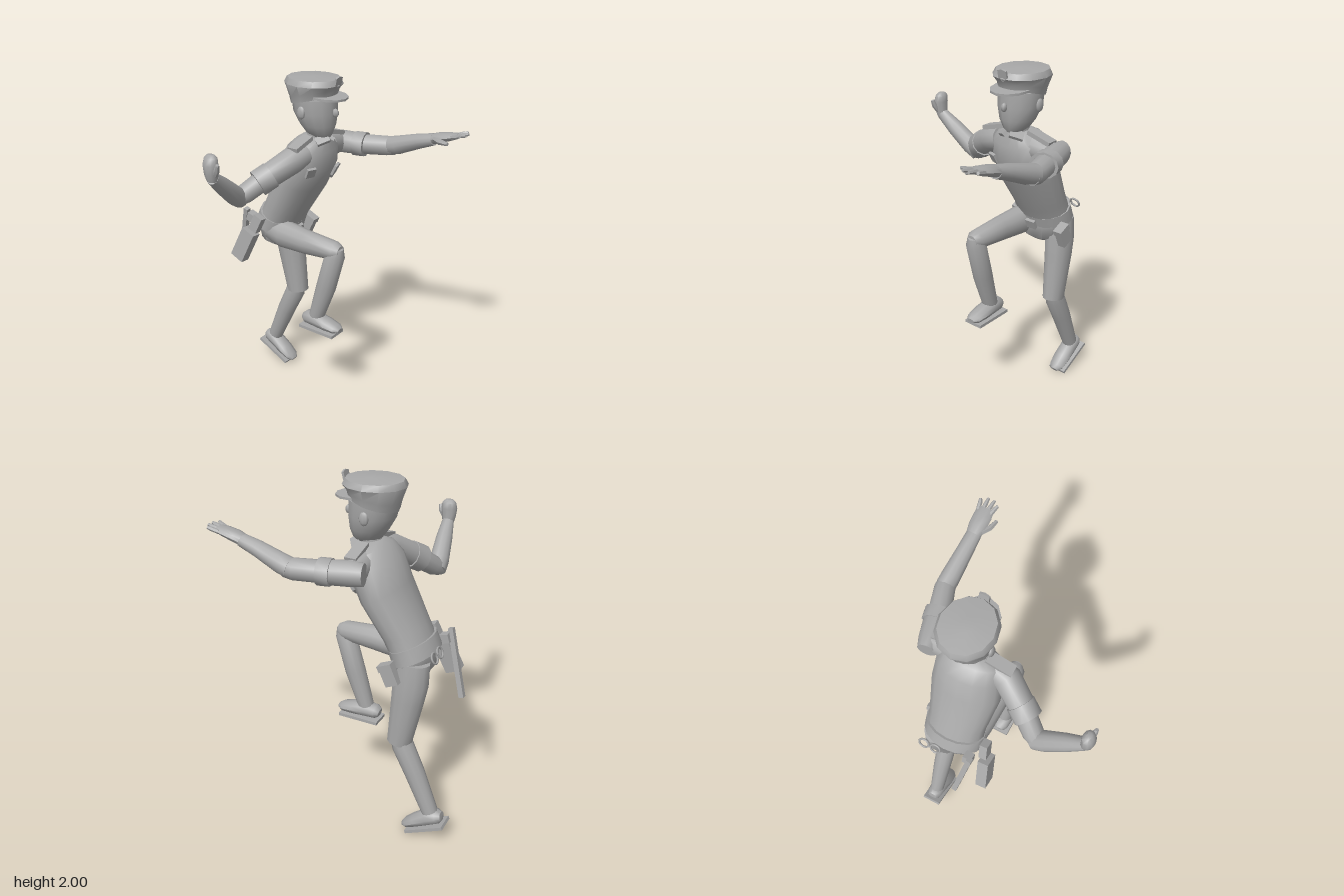
import * as THREE from 'three';
import { mergeVertices, toCreasedNormals } from 'three/addons/utils/BufferGeometryUtils.js';

const X = new THREE.Vector3(1, 0, 0);
const Z = new THREE.Vector3(0, 0, 1);

// Skin of elliptical rings along a path: [x, y, z, radiusU, radiusV, pitch?]
function loft(rings, seg = 12, ref = X) {
  const pos = [], idx = [];
  const at = i => new THREE.Vector3(...rings[Math.max(0, Math.min(rings.length - 1, i))].slice(0, 3));
  rings.forEach((r, i) => {
    const d = r[5] === undefined ? at(i + 1).sub(at(i - 1)).normalize()
      : new THREE.Vector3(0, Math.cos(r[5]), Math.sin(r[5]));
    const u = ref.clone().addScaledVector(d, -ref.dot(d)).normalize();
    const v = u.clone().cross(d);
    for (let j = 0; j < seg; j++) {
      const a = j / seg * Math.PI * 2;
      const p = at(i).addScaledVector(u, Math.cos(a) * r[3]).addScaledVector(v, Math.sin(a) * (r[4] ?? r[3]));
      pos.push(p.x, p.y, p.z);
    }
  });
  const last = rings.length - 1, c0 = pos.length / 3, c1 = c0 + 1;
  pos.push(...at(0).toArray(), ...at(last).toArray());
  for (let j = 0; j < seg; j++) {
    const k = (j + 1) % seg;
    for (let i = 0; i < last; i++) {
      const a = i * seg + j, b = a + seg, c = i * seg + k, e = c + seg;
      idx.push(a, b, c, c, b, e);
    }
    idx.push(c0, j, k, c1, last * seg + k, last * seg + j);
  }
  const g = new THREE.BufferGeometry();
  g.setAttribute('position', new THREE.Float32BufferAttribute(pos, 3));
  g.setIndex(idx);
  return toCreasedNormals(mergeVertices(g), 0.85);
}

// Small shield plate
function shieldGeometry(w, h, depth) {
  const s = new THREE.Shape();
  s.moveTo(0, -h / 2);
  s.lineTo(w / 2, -h * 0.2);
  s.lineTo(w / 2, h * 0.38);
  s.lineTo(0, h / 2);
  s.lineTo(-w / 2, h * 0.38);
  s.lineTo(-w / 2, -h * 0.2);
  return new THREE.ExtrudeGeometry(s, { depth, bevelEnabled: false });
}

export function createModel() {
  const root = new THREE.Group();
  const grey = new THREE.MeshStandardMaterial({ color: 0xa8a8a8 });
  grey.name = 'plain grey';

  const add = (name, geo, p = [0, 0, 0], r = [0, 0, 0], parent = root) => {
    const m = new THREE.Mesh(geo, grey);
    m.name = name;
    m.position.set(...p);
    m.rotation.set(r[0], r[1], r[2], 'YXZ');
    parent.add(m);
    return m;
  };
  const box = (name, size, p, r, parent) => add(name, new THREE.BoxGeometry(...size), p, r, parent);
  const cx = 0.175;

  // Leaning torso, pelvis and belt
  add('torso', loft([
    [cx, 1.1, -0.375, 0.165, 0.118, 0.4], [cx, 1.2, -0.325, 0.165, 0.12, 0.45],
    [cx, 1.4, -0.21, 0.195, 0.13, 0.48], [cx, 1.53, -0.155, 0.185, 0.138, 0.48],
    [cx, 1.61, -0.12, 0.165, 0.1, 0.4], [cx, 1.655, -0.11, 0.075, 0.065, 0.2],
  ], 16));
  add('pelvis', loft([
    [cx, 0.94, -0.385, 0.07, 0.06, 0.2], [cx, 0.99, -0.385, 0.145, 0.11, 0.3],
    [cx, 1.08, -0.38, 0.168, 0.125, 0.4], [cx, 1.13, -0.365, 0.165, 0.118, 0.4],
  ], 16));
  add('belt', loft([
    [cx, 1.07, -0.39, 0.174, 0.13, 0.4], [cx, 1.145, -0.36, 0.172, 0.126, 0.4],
  ], 16));
  box('buckle', [0.06, 0.055, 0.02], [cx, 1.053, -0.253], [0.4, 0, 0]);

  // Shirt details
  box('namePlate', [0.055, 0.06, 0.016], [0.05, 1.475, -0.065], [0.48, -0.35, 0]);
  add('chestBadge', shieldGeometry(0.066, 0.105, 0.016), [0.267, 1.437, -0.068], [0.48, 0.28, 0]);
  for (const s of [-1, 1]) {
    box('epaulet', [0.145, 0.024, 0.065], [cx + s * 0.152, 1.64, -0.115], [0, 0, -s * 0.27]);
    box('collarFlap', [0.075, 0.02, 0.05], [cx + s * 0.04, 1.645, -0.05], [0.6, s * 0.4, -s * 0.35]);
  }

  // Neck and head
  add('neck', loft([[cx, 1.59, -0.13, 0.058], [cx, 1.72, -0.11, 0.055]]));
  add('head', loft([
    [cx, 1.655, -0.09, 0.045, 0.06, 0], [cx, 1.675, -0.098, 0.066, 0.08, 0],
    [cx, 1.72, -0.108, 0.095, 0.103, 0], [cx, 1.79, -0.125, 0.117, 0.126, 0],
    [cx, 1.87, -0.133, 0.12, 0.132, 0],
  ], 14));
  add('nose', new THREE.SphereGeometry(0.019, 6, 5), [cx, 1.797, 0.008]).scale.set(0.8, 1.3, 1.1);
  for (const s of [-1, 1]) {
    add('ear', new THREE.SphereGeometry(1, 8, 6), [cx + s * 0.118, 1.8, -0.135]).scale.set(0.014, 0.036, 0.027);
  }

  // Peaked cap
  add('cap', loft([
    [cx, 1.857, -0.135, 0.123, 0.136, -0.25], [cx, 1.893, -0.135, 0.13, 0.145, -0.2],
    [cx, 1.945, -0.138, 0.151, 0.168, 0], [cx, 1.975, -0.138, 0.135, 0.152, 0],
    [cx, 1.985, -0.138, 0.035, 0.04, 0],
  ], 12));
  add('capVisor', new THREE.CylinderGeometry(1, 1, 1, 12), [cx, 1.885, -0.055], [0.06, 0, 0]).scale.set(0.108, 0.012, 0.128);
  add('capBadge', shieldGeometry(0.054, 0.068, 0.012), [cx, 1.966, 0.017], [0.22, 0, 0]);

  // Right arm, bent out to the side
  add('rightSleeve', loft([
    [0.06, 1.575, -0.12, 0.065], [-0.02, 1.555, -0.135, 0.075], [-0.17, 1.465, -0.222, 0.068],
  ], 12, Z));
  add('rightCuff', loft([[-0.13, 1.487, -0.2, 0.076], [-0.195, 1.447, -0.238, 0.076]], 12, Z));
  add('rightUpperArm', loft([
    [-0.15, 1.475, -0.215, 0.06], [-0.25, 1.395, -0.285, 0.056], [-0.295, 1.365, -0.31, 0.04],
  ], 12, Z));
  add('rightForearm', loft([
    [-0.265, 1.365, -0.305, 0.05], [-0.32, 1.405, -0.295, 0.055],
    [-0.43, 1.495, -0.275, 0.047], [-0.515, 1.565, -0.26, 0.034],
  ], 12, Z));
  add('rightHand', loft([
    [-0.515, 1.55, -0.26, 0.03, 0.03, 0], [-0.523, 1.59, -0.26, 0.034, 0.04, 0],
    [-0.525, 1.64, -0.26, 0.036, 0.046, 0], [-0.52, 1.675, -0.26, 0.03, 0.04, 0],
    [-0.52, 1.692, -0.26, 0.014, 0.022, 0],
  ], 10));
  add('rightThumb', loft([
    [-0.525, 1.585, -0.235, 0.014], [-0.532, 1.62, -0.212, 0.016], [-0.537, 1.652, -0.2, 0.01],
  ], 6));

  // Left arm, reaching forward
  add('leftSleeve', loft([
    [0.405, 1.56, -0.195, 0.05, 0.06], [0.415, 1.56, -0.13, 0.066, 0.066], [0.45, 1.557, 0.01, 0.072, 0.062],
  ]));
  add('leftShoulder', loft([
    [0.28, 1.57, -0.125, 0.07, 0.075], [0.36, 1.565, -0.13, 0.066, 0.07], [0.43, 1.56, -0.125, 0.05, 0.055],
  ], 12, Z));
  add('leftCuff', loft([[0.438, 1.557, -0.035, 0.081, 0.069], [0.452, 1.557, 0.03, 0.081, 0.069]]));
  add('leftUpperArm', loft([
    [0.445, 1.557, 0, 0.062, 0.058], [0.495, 1.562, 0.15, 0.056, 0.057], [0.5, 1.565, 0.195, 0.05, 0.05],
  ]));
  add('leftForearm', loft([
    [0.497, 1.565, 0.165, 0.054, 0.054], [0.495, 1.58, 0.22, 0.053, 0.053],
    [0.487, 1.63, 0.36, 0.046, 0.042], [0.485, 1.657, 0.45, 0.042, 0.034],
  ]));
  add('leftHand', loft([
    [0.485, 1.655, 0.435, 0.038, 0.03], [0.485, 1.675, 0.49, 0.049, 0.028],
    [0.485, 1.69, 0.55, 0.05, 0.022], [0.487, 1.7, 0.592, 0.042, 0.014],
  ], 10));
  [0.435, 0.465, 0.5, 0.537].forEach((x, i) => {
    const base = 0.453 + i * 0.023, tip = i % 3 ? 0.645 : 0.625;
    add('leftFinger', loft([
      [base, 1.694, 0.565, 0.012], [(base + x) / 2, 1.706, 0.605, 0.012], [x, 1.714, tip, 0.008],
    ], 6));
  });
  add('leftThumb', loft([
    [0.452, 1.67, 0.47, 0.015], [0.425, 1.668, 0.515, 0.016], [0.413, 1.668, 0.568, 0.01],
  ], 6));

  // Right leg, raised
  add('rightThigh', loft([
    [0.085, 1.06, -0.37, 0.075, 0.08], [0.078, 1.045, -0.28, 0.073, 0.085],
    [0.065, 1.043, -0.1, 0.063, 0.072], [0.062, 1.045, 0.1, 0.057, 0.054], [0.062, 1.045, 0.135, 0.035, 0.035],
  ]));
  add('rightShin', loft([
    [0.062, 1.07, 0.115, 0.035], [0.062, 1.02, 0.098, 0.056, 0.058],
    [0.061, 0.8, 0.038, 0.053, 0.06], [0.06, 0.585, -0.03, 0.043, 0.047],
  ]));

  // Left leg, pushing off behind
  add('leftThigh', loft([
    [0.265, 1.07, -0.405, 0.075, 0.095], [0.273, 0.95, -0.4, 0.078, 0.1],
    [0.278, 0.85, -0.388, 0.074, 0.092], [0.285, 0.57, -0.348, 0.06, 0.07],
  ]));
  add('leftShin', loft([
    [0.285, 0.61, -0.348, 0.052, 0.052], [0.285, 0.55, -0.37, 0.058, 0.062],
    [0.287, 0.4, -0.443, 0.054, 0.058], [0.29, 0.165, -0.545, 0.043, 0.047],
  ]));

  // Shoes, origin at the middle of the sole
  const shoe = (name, p, pitch) => {
    const g = new THREE.Group();
    g.name = name;
    g.position.set(...p);
    g.rotation.x = pitch;
    box('sole', [0.113, 0.018, 0.245], [0, 0, 0], [0, 0, 0], g);
    add('shoeUpper', loft([
      [0, 0.045, -0.118, 0.03, 0.025], [0, 0.05, -0.095, 0.046, 0.042], [0, 0.052, -0.03, 0.051, 0.047],
      [0, 0.043, 0.05, 0.054, 0.038], [0, 0.034, 0.115, 0.047, 0.027], [0, 0.03, 0.143, 0.025, 0.014],
    ], 10), [0, 0, 0], [0, 0, 0], g);
    root.add(g);
  };
  shoe('rightShoe', [0.06, 0.51, 0], 0);
  shoe('leftShoe', [0.29, 0.062, -0.53], 0.455);

  // Belt equipment
  box('holster', [0.062, 0.2, 0.09], [-0.058, 0.975, -0.475], [0.42, 0, -0.1]);
  box('holsterGrip', [0.045, 0.1, 0.06], [-0.026, 1.115, -0.405], [0.42, 0, -0.1]);
  box('baton', [0.03, 0.385, 0.028], [0.04, 0.99, -0.562], [0.28, 0, 0.16]);
  box('batonLoop', [0.05, 0.05, 0.05], [0.03, 1.12, -0.49], [0.3, 0, 0]);
  box('pouch', [0.045, 0.12, 0.075], [0.355, 1.015, -0.315], [0.42, 0, 0]);
  box('pouchFlap', [0.055, 0.035, 0.083], [0.355, 1.055, -0.297], [0.42, 0, 0]);
  for (const x of [0.21, 0.28]) {
    add('handcuff', new THREE.TorusGeometry(0.029, 0.006, 6, 14), [x, 1.125, -0.53], [0.45, 0, 0]);
  }
  box('handcuffLink', [0.02, 0.01, 0.01], [0.245, 1.125, -0.53], [0.45, 0, 0]);
  return root;
}
